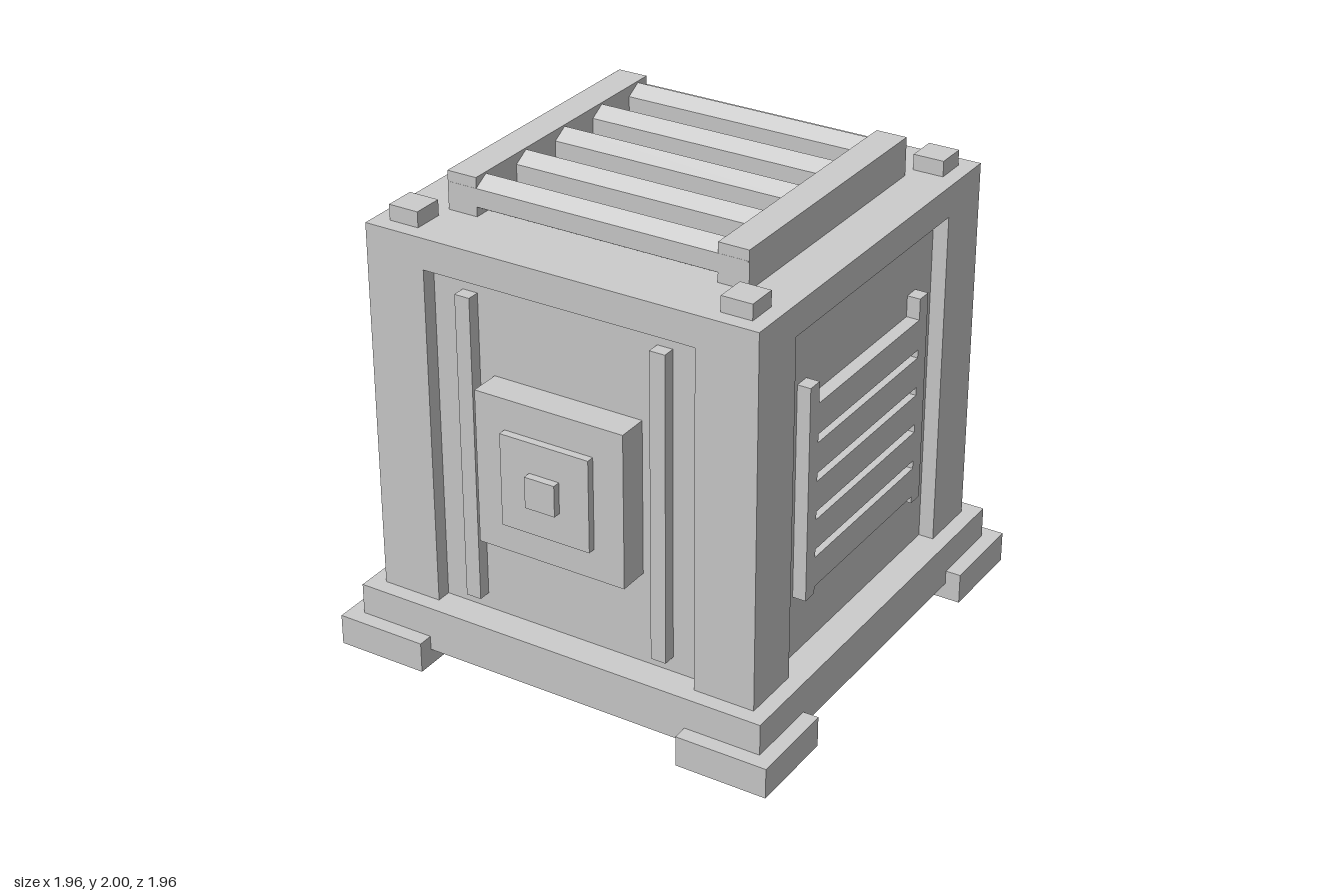
import * as THREE from 'three';

export function createModel() {
  const root = new THREE.Group();
  const grey = new THREE.MeshStandardMaterial({ color: 0xcccccc, flatShading: true });
  grey.name = 'lightGrey';

  const add = (name, geometry, parent = root) => {
    const mesh = new THREE.Mesh(geometry, grey);
    mesh.name = name;
    parent.add(mesh);
    return mesh;
  };
  // box from its min and max corners
  const box = (name, x0, x1, y0, y1, z0, z1, parent = root) => {
    const m = add(name, new THREE.BoxGeometry(x1 - x0, y1 - y0, z1 - z0), parent);
    m.position.set((x0 + x1) / 2, (y0 + y1) / 2, (z0 + z1) / 2);
    return m;
  };
  // box centred on its x and z
  const block = (name, x, z, half, y0, y1) => box(name, x - half, x + half, y0, y1, z - half, z + half);

  // base, recessed core and top frame
  block('base', 0, 0, 0.917, 0.07, 0.264);
  block('core', 0, 0, 0.786, 0.264, 1.72);
  block('topFrame', 0, 0, 0.85, 1.71, 1.84);

  // feet, corner posts and top studs
  for (const sx of [-1, 1]) for (const sz of [-1, 1]) {
    block('foot', sx * 0.786, sz * 0.786, 0.196, 0, 0.131);
    block('cornerPost', sx * 0.72, sz * 0.72, 0.13, 0.264, 1.71);
    block('topStud', sx * 0.72, sz * 0.72, 0.065, 1.84, 1.905);
  }

  // roof rails with hexagonal bars between them
  for (const s of [-1, 1]) box('roofRail', s * 0.59 - 0.065, s * 0.59 + 0.065, 1.84, 2, -0.59, 0.59);
  for (let i = -2; i <= 2; i++) {
    const bar = add('roofBar', new THREE.CylinderGeometry(0.0755, 0.0755, 1.3, 6));
    bar.rotation.z = Math.PI / 2;
    bar.rotation.y = 0;
    bar.geometry.rotateY(Math.PI / 2); // ridge points straight up
    bar.position.set(0, 1.918, i * 0.2625);
  }

  // front: upright strips and stepped plates
  for (const s of [-1, 1]) box('frontStrip', s * 0.426 - 0.033, s * 0.426 + 0.033, 0.33, 1.64, 0.78, 0.84);
  [[0.327, 0.917], [0.196, 0.95], [0.066, 0.983]].forEach(([h, z]) =>
    box('frontPlate', -h, h, 0.985 - h, 0.985 + h, 0.78, z));

  // louvres on both sides
  for (const side of [0, Math.PI]) {
    const louvre = new THREE.Group();
    louvre.name = 'sideLouvre';
    louvre.rotation.y = side;
    root.add(louvre);
    for (const s of [-1, 1])
      box('louvrePost', 0.78, 0.842, 0.53, 1.44, s * 0.426 - 0.033, s * 0.426 + 0.033, louvre);
    for (let i = 0; i < 5; i++)
      box('louvreSlat', 0.78, 0.842, 0.56 + i * 0.165, 0.69 + i * 0.165, -0.394, 0.394, louvre);
  }

  // back: strips, sill bar and small plates
  for (const s of [-1, 1]) {
    box('backPostStrip', s * 0.62 - 0.028, s * 0.62 + 0.028, 0.53, 1.44, -0.882, -0.84);
    box('backInnerStrip', s * 0.53 - 0.028, s * 0.53 + 0.028, 0.53, 1.44, -0.882, -0.78);
  }
  box('sillBar', -0.59, 0.59, 0.33, 0.46, -0.83, -0.78);
  box('backButton', 0.37, 0.48, 1.51, 1.63, -0.85, -0.78);
  box('backLabelPlate', -0.52, 0.0, 1.56, 1.66, -0.82, -0.78);

  // fan: built along +z, then turned to face the back
  const fan = new THREE.Group();
  fan.name = 'fan';
  fan.position.y = 0.985;
  fan.rotation.y = Math.PI;
  root.add(fan);
  const disc = (name, r, sides, z0, z1) => {
    const m = add(name, new THREE.CylinderGeometry(r, r, z1 - z0, sides), fan);
    m.rotation.x = Math.PI / 2;
    m.position.z = (z0 + z1) / 2;
  };
  disc('fanHousing', 0.52, 12, 0.78, 0.882);
  disc('fanFace', 0.43, 12, 0.88, 0.893);
  disc('fanHub', 0.1, 8, 0.88, 0.928);

  // four slightly pitched quarter blades
  for (let i = 0; i < 4; i++) {
    const shape = new THREE.Shape();
    shape.moveTo(0, 0);
    for (let k = 0; k <= 3; k++) {
      const a = -Math.PI / 4 + (k * Math.PI) / 6;
      shape.lineTo(0.41 * Math.cos(a), 0.41 * Math.sin(a));
    }
    const arm = new THREE.Group();
    arm.name = 'fanBladeArm';
    arm.position.z = 0.893;
    arm.rotation.z = Math.PI / 4 + (i * Math.PI) / 2;
    fan.add(arm);
    const blade = add('fanBlade',
      new THREE.ExtrudeGeometry(shape, { depth: 0.008, bevelEnabled: false }), arm);
    blade.rotation.x = 0.05;
  }
  return root;
}
